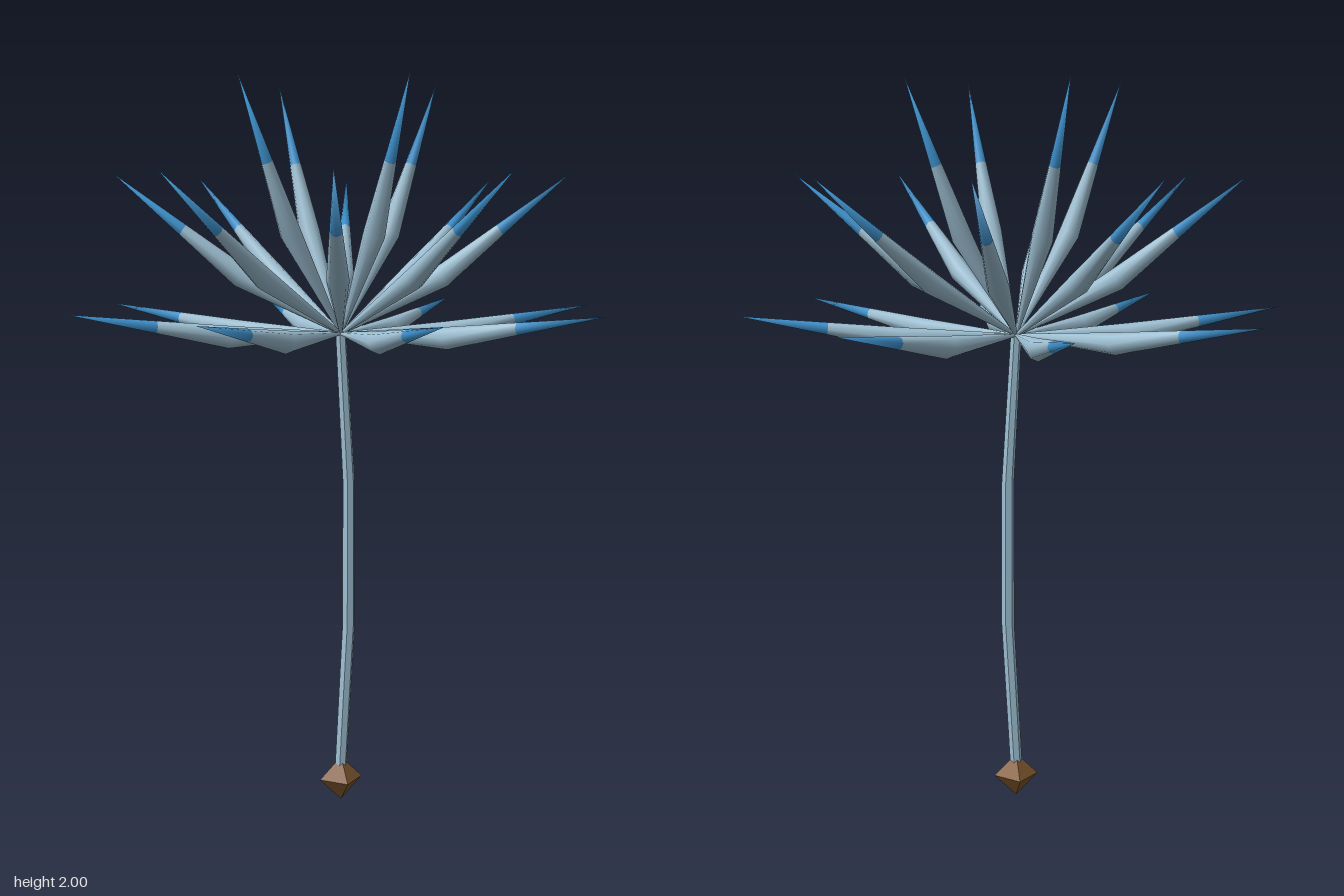
import * as THREE from 'three';
import { mergeVertices } from 'three/addons/utils/BufferGeometryUtils.js';

const LENGTH = 0.75, WIDEST = 0.31, TIP_START = 0.51, RADIUS = 0.03, CROWN_Y = 1.32;

// Spindle section along +x whose belly sags below the straight top edge
function spindle(profile) {
  const geo = new THREE.LatheGeometry(profile.map(([r, t]) => new THREE.Vector2(r, t)), 8);
  geo.rotateZ(-Math.PI / 2);
  const pos = geo.attributes.position;
  for (let i = 0; i < pos.count; i++) {
    const x = pos.getX(i);
    const sag = x < WIDEST ? x / WIDEST : (LENGTH - x) / (LENGTH - WIDEST);
    pos.setY(i, pos.getY(i) - 0.03 * sag);
  }
  geo.deleteAttribute('uv');
  geo.deleteAttribute('normal');
  const smooth = mergeVertices(geo, 1e-5);
  smooth.computeVertexNormals();
  return smooth;
}

export function createModel() {
  const leafBlue = new THREE.MeshStandardMaterial({ color: 0x9dbfd2 });
  leafBlue.name = 'paleBlue';
  const tipBlue = new THREE.MeshStandardMaterial({ color: 0x3f93cf });
  tipBlue.name = 'tipBlue';
  const brown = new THREE.MeshStandardMaterial({ color: 0x80582f, flatShading: true });
  brown.name = 'bulbBrown';
  const stemBlue = new THREE.MeshStandardMaterial({ color: 0x9dbfd2, flatShading: true });
  stemBlue.name = 'stemBlue';

  const model = new THREE.Group();
  model.name = 'spikyPlant';
  const add = (parent, name, geo, mat) => {
    const mesh = new THREE.Mesh(geo, mat);
    mesh.name = name;
    parent.add(mesh);
    return mesh;
  };

  // Bulb at the foot
  add(model, 'bulb', new THREE.OctahedronGeometry(0.062), brown).position.y = 0.062;

  // Six-sided stem, bowed sideways in three straight runs
  const bottom = 0.1, height = CROWN_Y - bottom;
  const stem = new THREE.CylinderGeometry(0.015, 0.017, height, 6, 3);
  stem.rotateY(Math.PI / 6);
  stem.translate(0, bottom + height / 2, 0);
  const pos = stem.attributes.position;
  for (let i = 0; i < pos.count; i++) {
    const t = (pos.getY(i) - bottom) / height;
    if (t > 0.1 && t < 0.9) pos.setX(i, pos.getX(i) * 1.1 + 0.023);
  }
  add(model, 'stem', stem, stemBlue);

  // Leaves in three tilted rings, each with a coloured tip
  const tipRadius = RADIUS * (LENGTH - TIP_START) / (LENGTH - WIDEST);
  const blade = spindle([[0.004, 0], [RADIUS, WIDEST], [tipRadius, TIP_START]]);
  const tip = spindle([[tipRadius, TIP_START], [0, LENGTH]]);
  const rings = [
    { name: 'lowerLeaf', count: 8, tilt: 5, turn: 0 },
    { name: 'middleLeaf', count: 8, tilt: 35, turn: -20 },
    { name: 'upperLeaf', count: 4, tilt: 65, turn: 15 },
  ];
  for (const { name, count, tilt, turn } of rings) {
    for (let i = 0; i < count; i++) {
      const leaf = new THREE.Group();
      leaf.name = name;
      add(leaf, 'blade', blade, leafBlue);
      add(leaf, 'tip', tip, tipBlue);
      leaf.position.y = CROWN_Y;
      leaf.rotation.order = 'YXZ';
      leaf.rotation.z = THREE.MathUtils.degToRad(tilt);
      leaf.rotation.y = THREE.MathUtils.degToRad(turn + i * 360 / count);
      model.add(leaf);
    }
  }
  return model;
}
